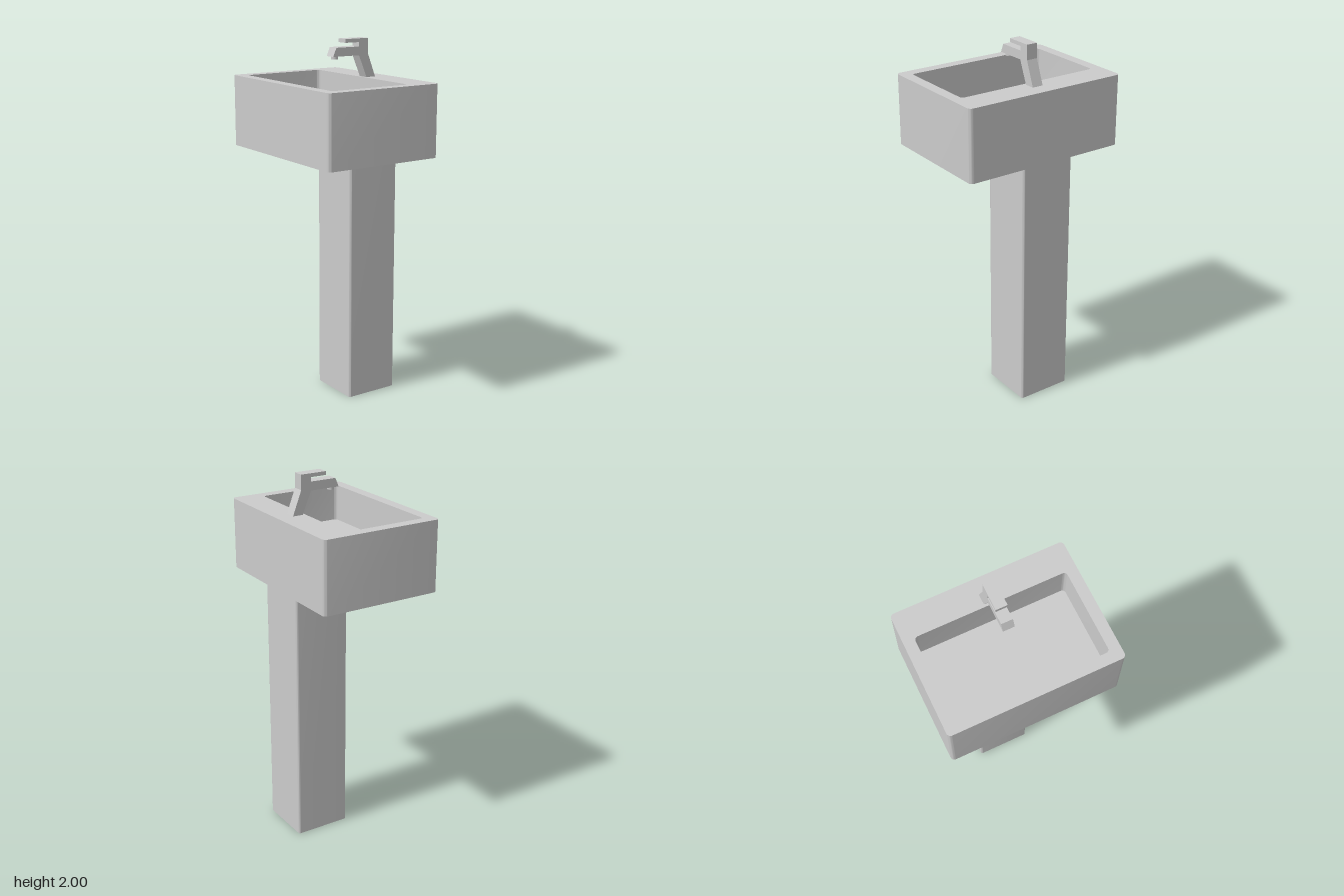
import * as THREE from 'three';
import { mergeGeometries, toCreasedNormals } from 'three/addons/utils/BufferGeometryUtils.js';

const material = new THREE.MeshStandardMaterial({ color: 0xcccccc });
const thinMaterial = new THREE.MeshStandardMaterial({ color: 0xcccccc, side: THREE.DoubleSide });

// Rounded rectangle drawn on the ground plane (shape y becomes -z)
function roundedRect(x0, x1, z0, z1, r) {
  const s = new THREE.Shape();
  const a = -z1, b = -z0;
  s.absarc(x1 - r, a + r, r, -Math.PI / 2, 0);
  s.absarc(x1 - r, b - r, r, 0, Math.PI / 2);
  s.absarc(x0 + r, b - r, r, Math.PI / 2, Math.PI);
  s.absarc(x0 + r, a + r, r, Math.PI, Math.PI * 1.5);
  return s;
}

// Horizontal sheet at height y, facing up or down
function sheet(shape, y, up, segments) {
  const g = new THREE.ShapeGeometry(shape, segments).toNonIndexed();
  g.deleteAttribute('uv');
  if (!up) { // mirror first so that the turned sheet keeps its outline
    g.scale(1, -1, 1);
    const p = g.attributes.position;
    for (let i = 0; i < p.count; i += 3) {
      const b = new THREE.Vector3().fromBufferAttribute(p, i + 1);
      const c = new THREE.Vector3().fromBufferAttribute(p, i + 2);
      p.setXYZ(i + 1, c.x, c.y, c.z);
      p.setXYZ(i + 2, b.x, b.y, b.z);
    }
    // mirroring and swapping restores an upward winding, so turn it over
    g.rotateX(Math.PI / 2);
  } else {
    g.rotateX(-Math.PI / 2);
  }
  g.translate(0, y, 0);
  g.computeVertexNormals();
  return g;
}

// Upright band following an outline, facing outward or inward
function wall(shape, y0, y1, outward, segments) {
  const pts = shape.getPoints(segments);
  const pos = [];
  for (let i = 0; i < pts.length; i++) {
    let p = pts[i], q = pts[(i + 1) % pts.length];
    if (p.distanceTo(q) < 1e-6) continue;
    if (!outward) [p, q] = [q, p];
    pos.push(p.x, y0, -p.y, q.x, y0, -q.y, q.x, y1, -q.y);
    pos.push(p.x, y0, -p.y, q.x, y1, -q.y, p.x, y1, -p.y);
  }
  const g = new THREE.BufferGeometry();
  g.setAttribute('position', new THREE.Float32BufferAttribute(pos, 3));
  g.computeVertexNormals();
  return toCreasedNormals(g, 0.7);
}

function addMesh(parent, name, geometry, mat = material) {
  const m = new THREE.Mesh(geometry, mat);
  m.name = name;
  parent.add(m);
  return m;
}

export function createModel() {
  const model = new THREE.Group();
  model.name = 'pedestalSink';

  // Hollow pedestal, open at the foot
  const foot = roundedRect(0.02, 0.33, -0.173, 0.138, 0.012);
  addMesh(model, 'pedestal', wall(foot, 0, 1.4, true, 4), thinMaterial);

  // Basin: outer walls, underside, rim, bowl walls and bowl floor
  const outer = roundedRect(-0.345, 0.345, -0.47, 0.47, 0.022);
  const bowl = roundedRect(-0.285, 0.185, -0.41, 0.41, 0.02);
  const rim = outer.clone();
  rim.holes.push(bowl);
  addMesh(model, 'basin', mergeGeometries([
    wall(outer, 1.4, 1.79, true, 4),
    sheet(outer, 1.4, false, 4),
    sheet(rim, 1.79, true, 4),
    wall(bowl, 1.59, 1.79, false, 4),
    sheet(bowl, 1.59, true, 4),
  ]));

  // Faucet: side profile with leaning stem, spout and lever on top
  const faucet = new THREE.Group();
  faucet.name = 'faucet';
  const profile = new THREE.Shape([
    [0.2, 1.79], [0.258, 1.79], [0.208, 1.92], [0.208, 2], [0.06, 2], [0.06, 1.98],
    [0.15, 1.98], [0.15, 1.957], [0.002, 1.957], [-0.018, 1.91], [0.15, 1.91],
  ].map(([x, y]) => new THREE.Vector2(x, y)));
  const body = new THREE.ExtrudeGeometry(profile, { depth: 0.062, bevelEnabled: false });
  body.translate(0, 0, -0.031);
  addMesh(faucet, 'faucetBody', body);

  // Short outlet under the spout tip
  const outlet = addMesh(faucet, 'outlet', new THREE.CylinderGeometry(0.019, 0.019, 0.016, 16));
  outlet.position.set(0.012, 1.902, 0);
  model.add(faucet);

  return model;
}
